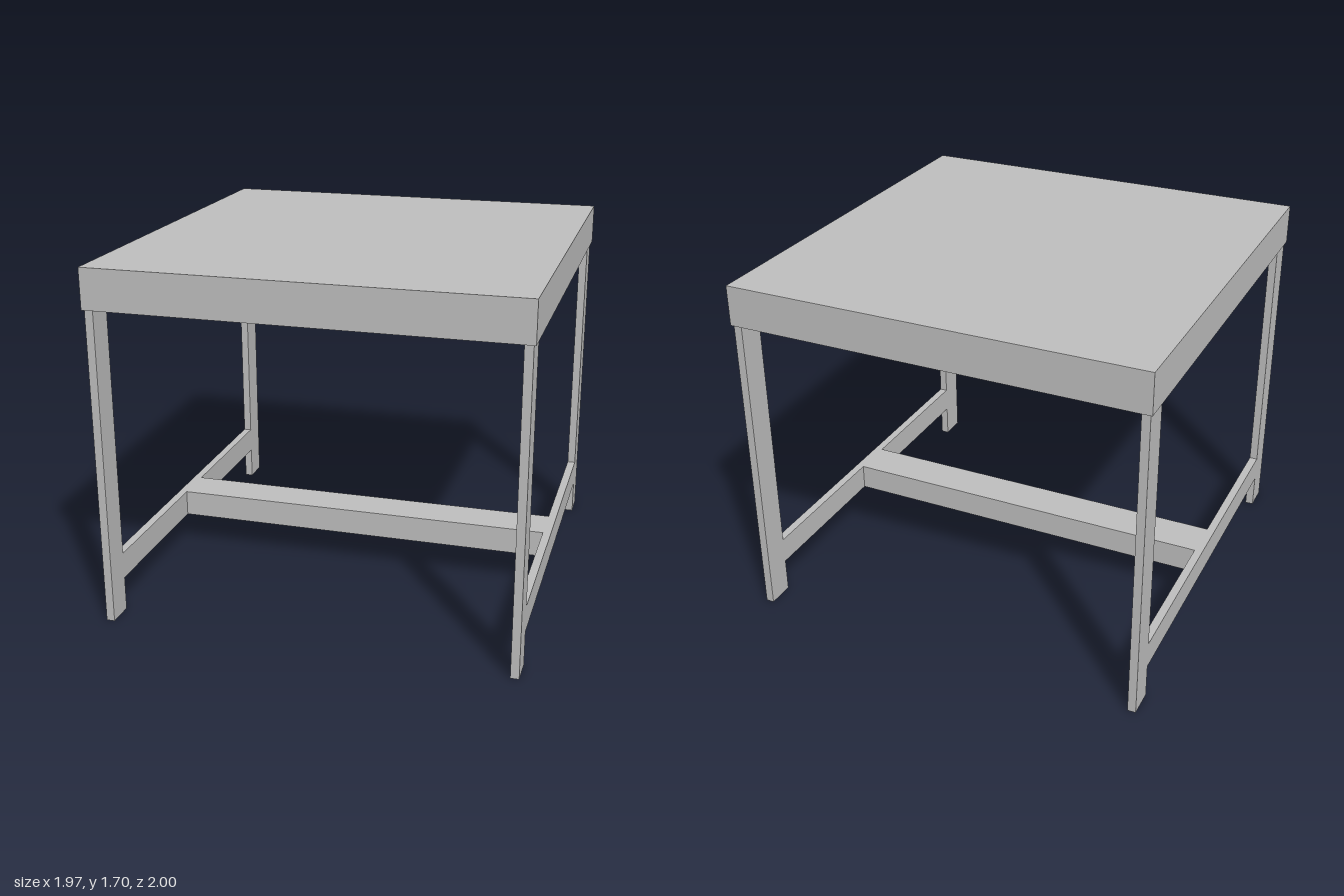
import * as THREE from 'three';

export function createModel() {
  const group = new THREE.Group();
  const grey = new THREE.MeshStandardMaterial({ color: 0xc0c0c0 });
  grey.name = 'grey';

  const topY = 1.505, railLow = 0.163, railHigh = 0.29;
  const sideIn = 0.935, sideOut = 0.974, legIn = 0.86, legOut = 0.99;

  // Table top slab
  const top = new THREE.Mesh(new THREE.BoxGeometry(1.968, 0.19, 2), grey);
  top.name = 'tableTop';
  top.position.y = topY + 0.095;
  group.add(top);

  // Flat H-shaped side frame: two legs joined by a rail, drawn in the z-y plane
  const outline = [
    [-legOut, 0], [-legIn, 0], [-legIn, railLow], [legIn, railLow], [legIn, 0], [legOut, 0],
    [legOut, topY], [legIn, topY], [legIn, railHigh], [-legIn, railHigh], [-legIn, topY], [-legOut, topY],
  ].map(([z, y]) => new THREE.Vector2(z, y));
  const depth = sideOut - sideIn;
  const frameGeometry = new THREE.ExtrudeGeometry(new THREE.Shape(outline), { depth, bevelEnabled: false });
  frameGeometry.translate(0, 0, -depth / 2);
  frameGeometry.rotateY(Math.PI / 2);
  for (const side of [-1, 1]) {
    const frame = new THREE.Mesh(frameGeometry, grey);
    frame.name = side > 0 ? 'leftLegFrame' : 'rightLegFrame';
    frame.position.x = side * (sideIn + sideOut) / 2;
    group.add(frame);
  }

  // Central stretcher between the side rails
  const stretcher = new THREE.Mesh(new THREE.BoxGeometry(sideIn * 2, railHigh - railLow, 0.2), grey);
  stretcher.name = 'stretcher';
  stretcher.position.y = (railLow + railHigh) / 2;
  group.add(stretcher);

  return group;
}
